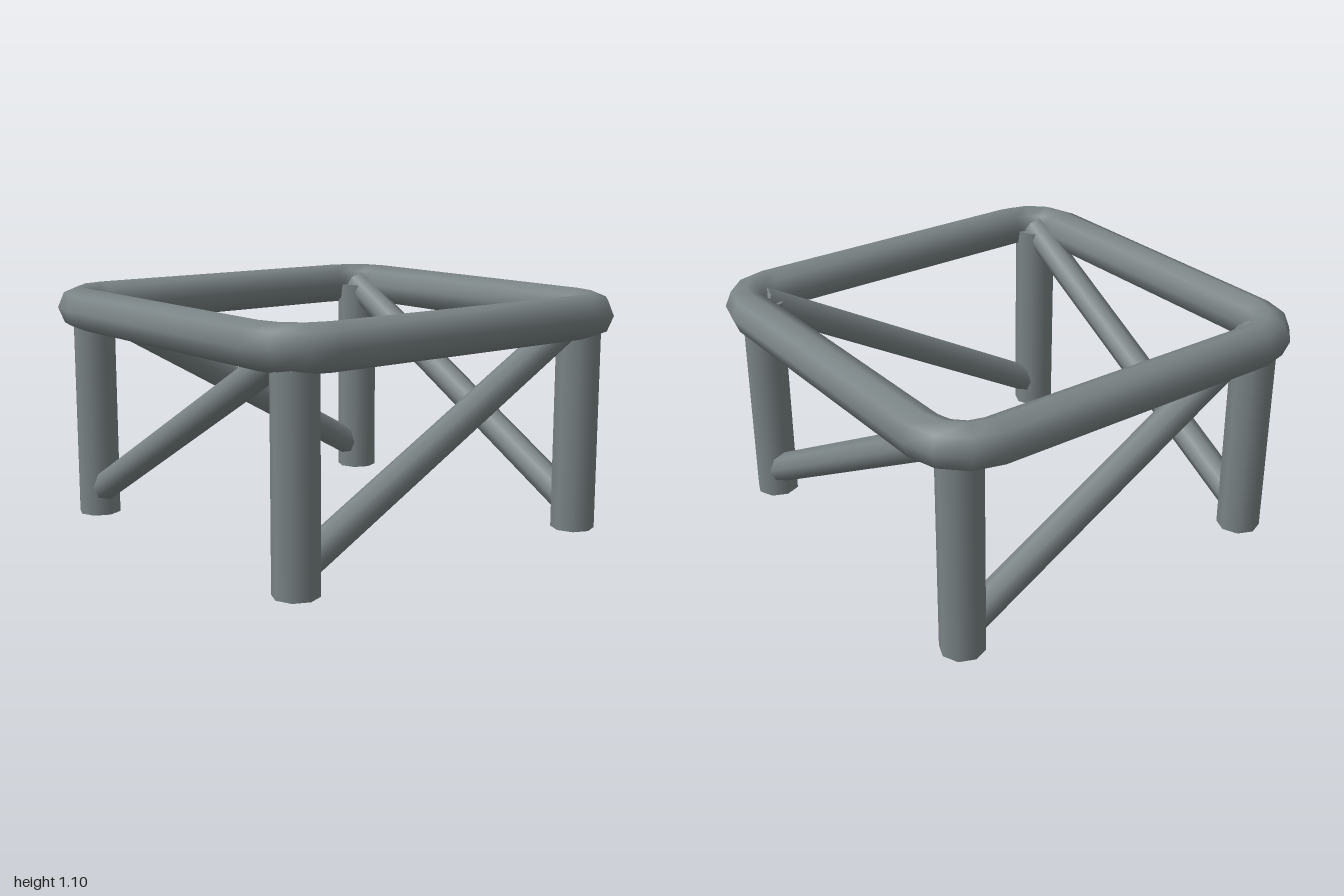
import * as THREE from 'three';

const SIDES = 8;

// Rounded-square tube: three-segment corners swept with an octagonal section.
function rimGeometry() {
  const straight = 0.7, bend = 0.2, tube = 0.1, height = 1, steps = 3;
  const positions = [], index = [];
  const rings = 4 * (steps + 1);
  for (let c = 0; c < 4; c++) {
    const mid = (c + 0.5) * Math.PI / 2;
    const cx = straight * Math.sign(Math.cos(mid));
    const cz = straight * Math.sign(Math.sin(mid));
    for (let s = 0; s <= steps; s++) {
      const a = (c + s / steps) * Math.PI / 2;
      for (let j = 0; j < SIDES; j++) {
        const phi = j / SIDES * Math.PI * 2;
        const r = bend + tube * Math.cos(phi);
        positions.push(cx + r * Math.cos(a), height + tube * Math.sin(phi), cz + r * Math.sin(a));
      }
    }
  }
  for (let i = 0; i < rings; i++) {
    const n = (i + 1) % rings;
    for (let j = 0; j < SIDES; j++) {
      const k = (j + 1) % SIDES;
      const a = i * SIDES + j, b = i * SIDES + k, c = n * SIDES + j, d = n * SIDES + k;
      index.push(a, b, c, b, d, c);
    }
  }
  const geometry = new THREE.BufferGeometry();
  geometry.setAttribute('position', new THREE.Float32BufferAttribute(positions, 3));
  geometry.setIndex(index);
  geometry.computeVertexNormals();
  return geometry;
}

// Octagonal bar between two points.
function bar(name, from, to, radius, material) {
  const dir = to.clone().sub(from);
  const mesh = new THREE.Mesh(new THREE.CylinderGeometry(radius, radius, dir.length(), SIDES), material);
  mesh.name = name;
  mesh.position.copy(from).add(to).multiplyScalar(0.5);
  mesh.quaternion.setFromUnitVectors(new THREE.Vector3(0, 1, 0), dir.normalize());
  return mesh;
}

export function createModel() {
  const model = new THREE.Group();
  model.name = 'openFrameStand';
  const steel = new THREE.MeshStandardMaterial({ color: 0x7a8385 });
  steel.name = 'greySteel';

  const rim = new THREE.Mesh(rimGeometry(), steel);
  rim.name = 'topRim';
  model.add(rim);

  // One leg and one rising diagonal brace per side, turned around the centre.
  const v = (x, y, z) => new THREE.Vector3(x, y, z);
  ['front', 'left', 'back', 'right'].forEach((sideName, i) => {
    const side = new THREE.Group();
    side.name = sideName + 'Side';
    side.add(bar(sideName + 'Leg', v(-0.8, 0, 0.8), v(-0.8, 1, 0.8), 0.1, steel));
    side.add(bar(sideName + 'Brace', v(-0.8, 0.1, 0.8), v(0.8, 1, 0.8), 0.07, steel));
    side.rotation.y = i * Math.PI / 2;
    model.add(side);
  });
  return model;
}
